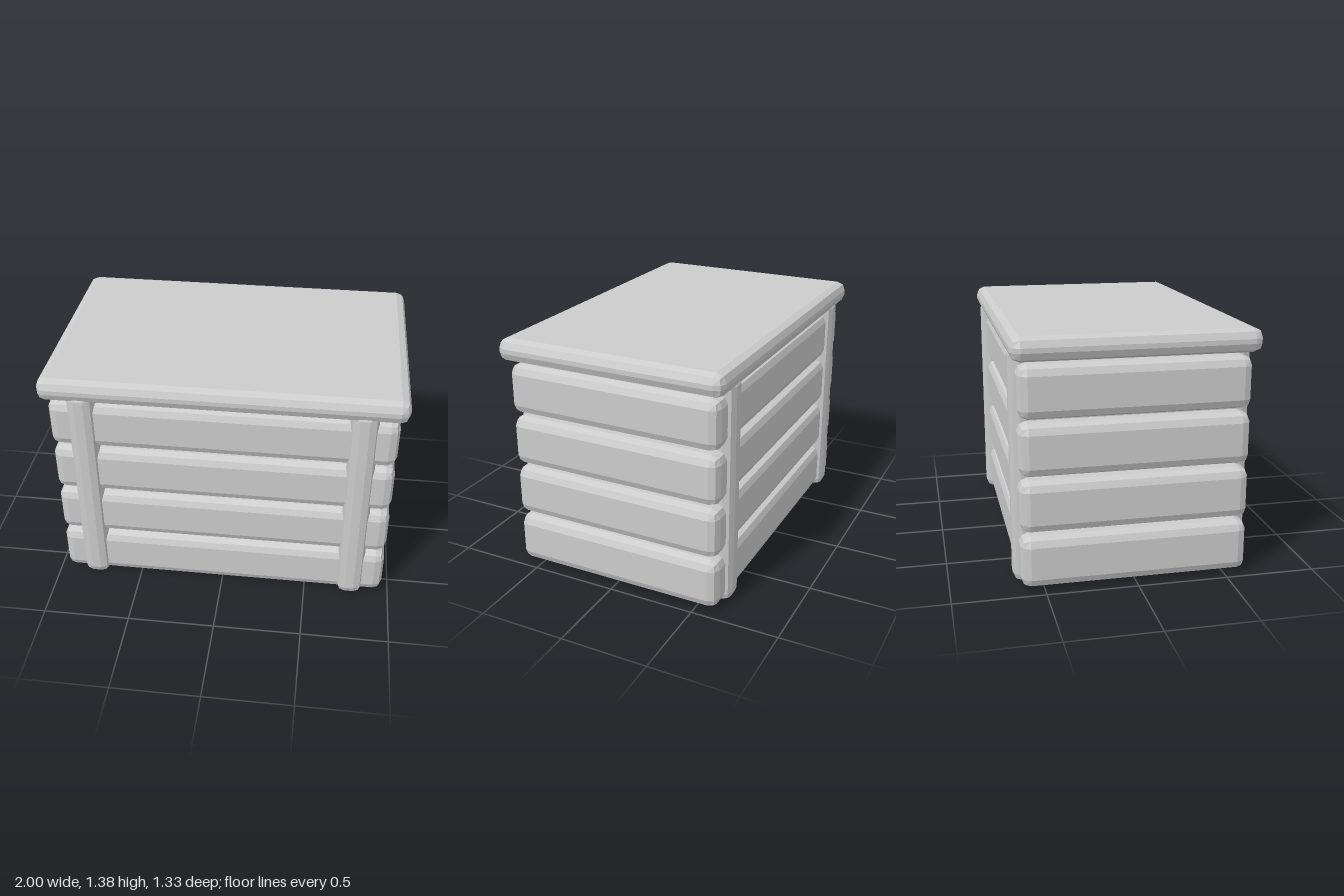
import * as THREE from 'three';
import { RoundedBoxGeometry } from 'three/addons/geometries/RoundedBoxGeometry.js';

const material = new THREE.MeshStandardMaterial({ color: 0xcccccc, flatShading: true });

// Low-poly block with a two-step bevel, spanning y0..y1
function block(name, width, depth, y0, y1, x = 0, bevel = 0.052) {
  const geometry = new RoundedBoxGeometry(width, y1 - y0, depth, 1, bevel);
  const mesh = new THREE.Mesh(geometry, material);
  mesh.name = name;
  mesh.position.set(x, (y0 + y1) / 2, 0);
  return mesh;
}

export function createModel() {
  const crate = new THREE.Group();
  crate.name = 'crate';

  // Stacked planks with narrow gaps between them
  const planks = new THREE.Group();
  planks.name = 'planks';
  for (let i = 0; i < 4; i++) {
    const y = 0.015 + i * 0.308;
    planks.add(block(`plank${i + 1}`, 1.92, 1.25, y, y + 0.285));
  }
  crate.add(planks);

  // Upright braces running through the full depth
  crate.add(block('leftBrace', 0.155, 1.31, 0, 1.31, 0.768));
  crate.add(block('rightBrace', 0.155, 1.31, 0, 1.31, -0.768));

  // Overhanging lid
  crate.add(block('lid', 2, 1.325, 1.247, 1.377));

  return crate;
}
